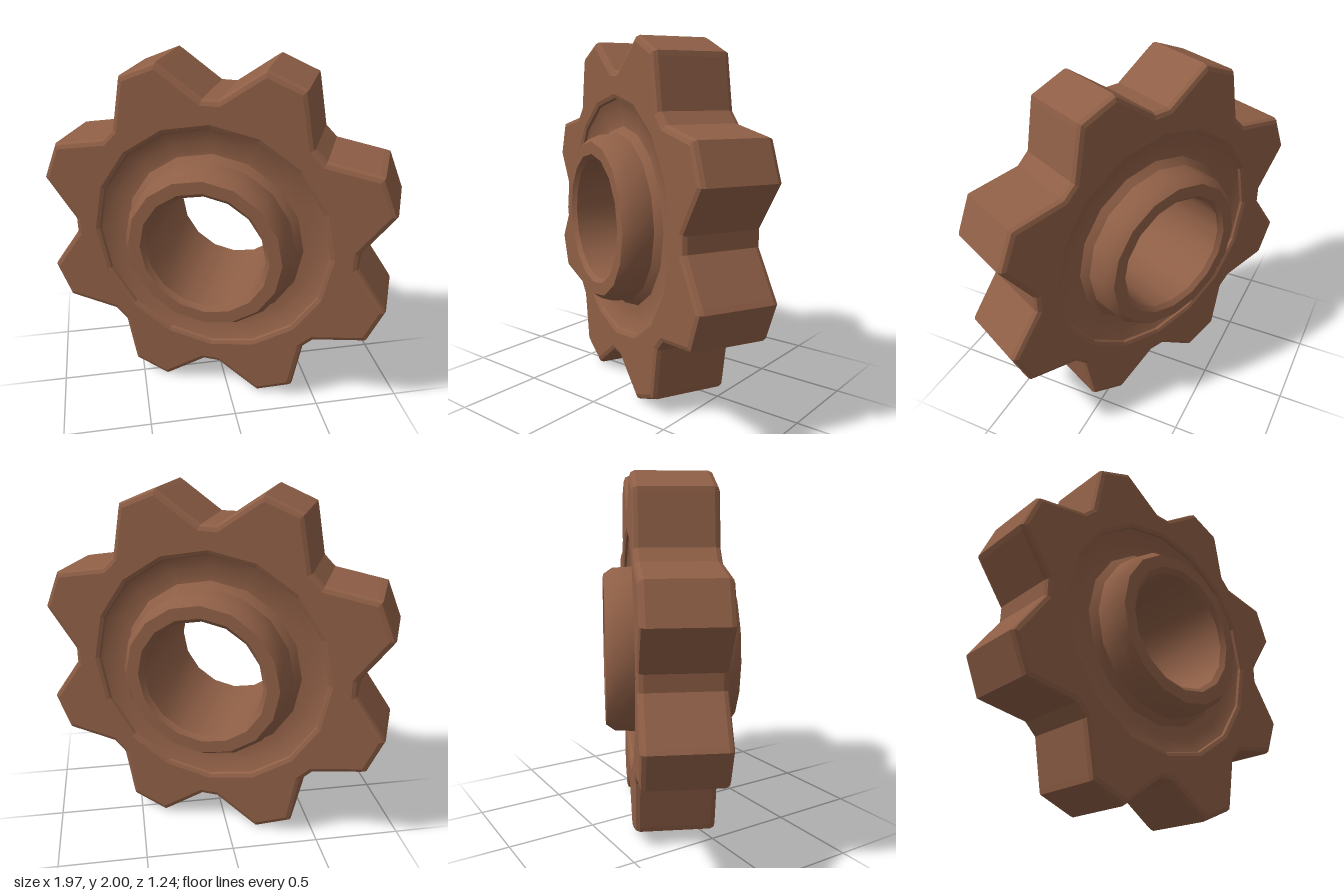
import * as THREE from 'three';
import { toCreasedNormals } from 'three/addons/utils/BufferGeometryUtils.js';

const TEETH = 8, SIDES = 16;
const HALF = 0.222, BEVEL = 0.03;

// Outline of the toothed wheel: each tooth is a list of [radius, degrees from its centre]
function gearOutline() {
  const tooth = [[0.83, -19.4], [1.02, -7.3], [1.042, -6.2], [1.042, 6.2], [1.02, 7.3], [0.83, 19.4]];
  const points = [];
  for (let i = 0; i < TEETH; i++) {
    for (const [r, deg] of tooth) {
      const a = ((i + 0.5) * 360 / TEETH + deg) * Math.PI / 180;
      points.push(new THREE.Vector2(r * Math.cos(a), r * Math.sin(a)));
    }
  }
  return points;
}

function circle(r) {
  return Array.from({ length: SIDES }, (_, i) => {
    const a = -i * 2 * Math.PI / SIDES;
    return new THREE.Vector2(r * Math.cos(a), r * Math.sin(a));
  });
}

export function createModel() {
  const model = new THREE.Group();
  model.name = 'gear';
  const brown = new THREE.MeshStandardMaterial({ color: 0x8f5f46 });
  brown.name = 'brown';

  // Toothed wheel with softened rims
  const shape = new THREE.Shape(gearOutline());
  shape.holes.push(new THREE.Path(circle(0.67)));
  const depth = 2 * (HALF - BEVEL);
  const wheel = new THREE.ExtrudeGeometry(shape, {
    depth, bevelEnabled: true, bevelThickness: BEVEL, bevelSize: BEVEL, bevelOffset: -BEVEL, bevelSegments: 2,
  });
  wheel.translate(0, 0, -depth / 2);
  const teeth = new THREE.Mesh(wheel, brown);
  teeth.name = 'toothedWheel';

  // Hub: sunken groove, raised collar and bore, mirrored front to back
  const half = [
    [0.675, 0.2], [0.6, 0.165], [0.52, 0.165], [0.482, 0.2],
    [0.475, 0.31], [0.44, 0.36], [0.37, 0.36], [0.345, 0.335],
  ];
  const profile = [...half, ...half.map(([r, z]) => [r, -z]).reverse()].map(([r, z]) => new THREE.Vector2(r, z));
  const hubGeometry = toCreasedNormals(new THREE.LatheGeometry(profile, SIDES), 0.75);
  hubGeometry.rotateX(Math.PI / 2);
  const hub = new THREE.Mesh(hubGeometry, brown);
  hub.name = 'hub';

  // Stand upright, turned partly to one side
  model.add(teeth, hub);
  model.rotation.y = -25.6 * Math.PI / 180;
  model.position.y = 1;
  return model;
}
